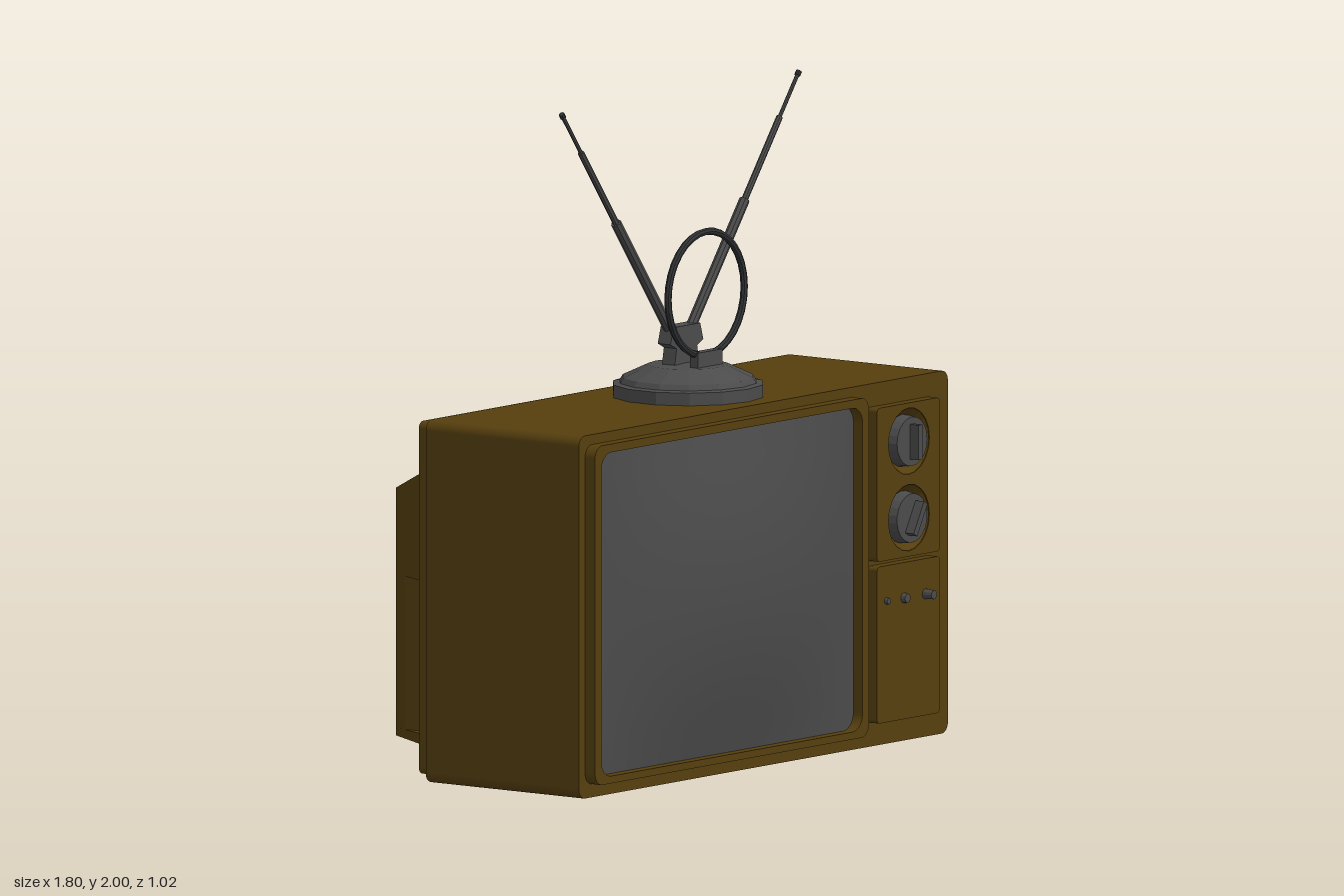
import * as THREE from 'three';
import { ConvexGeometry } from 'three/addons/geometries/ConvexGeometry.js';

const mat = (name, color, extra = {}) => {
  const m = new THREE.MeshStandardMaterial({ color, flatShading: true, ...extra });
  m.name = name;
  return m;
};

// Rounded rectangle outline, usable as a shape or as a hole
function roundRect(x0, y0, x1, y1, r, Type = THREE.Shape) {
  const s = new Type();
  s.absarc(x1 - r, y0 + r, r, -Math.PI / 2, 0);
  s.absarc(x1 - r, y1 - r, r, 0, Math.PI / 2);
  s.absarc(x0 + r, y1 - r, r, Math.PI / 2, Math.PI);
  s.absarc(x0 + r, y0 + r, r, Math.PI, Math.PI * 1.5);
  s.closePath();
  return s;
}

function slab(shape, z0, z1) {
  const g = new THREE.ExtrudeGeometry(shape, { depth: z1 - z0, bevelEnabled: false, curveSegments: 5 });
  return g.translate(0, 0, z0);
}

export function createModel() {
  const tv = new THREE.Group();
  tv.name = 'television';
  const brown = mat('brown casing', 0x563f0e);
  const grey = mat('grey plastic', 0x4b4b4c);
  const glass = mat('screen glass', 0x4b4b4b, { flatShading: false });
  const dark = mat('dark metal', 0x303234);

  const add = (name, geo, material, parent = tv) => {
    const m = new THREE.Mesh(geo, material);
    m.name = name;
    parent.add(m);
    return m;
  };
  // Cylinder between two points
  const rod = (name, a, b, r0, r1, material, parent = tv, sides = 8) => {
    const d = b.clone().sub(a);
    const m = add(name, new THREE.CylinderGeometry(r1, r0, d.length(), sides), material, parent);
    m.position.copy(a).add(b).multiplyScalar(0.5);
    m.quaternion.setFromUnitVectors(new THREE.Vector3(0, 1, 0), d.normalize());
    return m;
  };
  const V = (x, y, z) => new THREE.Vector3(x, y, z);

  // Cabinet and stepped back panel
  add('cabinet', slab(roundRect(-0.9, 0, 0.9, 1.09, 0.03), -0.145, 0.43), brown);
  add('backPanel', slab(roundRect(-0.875, 0.02, 0.875, 1.08, 0.02), -0.19, -0.145), brown);

  // Tapered rear housing with a recess in each side
  const zA = -0.19, zB = -0.51, cut = 0.593;
  const t = z => (z - zA) / (zB - zA);
  const side = z => 0.72 - 0.15 * t(z);
  const top = z => 0.96 - 0.14 * t(z);
  const bottom = z => 0.06 + 0.015 * t(z);
  const zCut = -0.46;
  const housing = (name, low, high, width, depths) => {
    const pts = [];
    for (const z of depths) for (const s of [-1, 1]) {
      pts.push(V(s * width(z), low(z), z), V(s * width(z), high(z), z));
    }
    add(name, new ConvexGeometry(pts), brown);
  };
  housing('rearHousingUpper', () => 0.56, top, side, [zA, zB]);
  housing('rearHousingCore', () => 0.1, () => 0.56, z => Math.min(cut, side(z)), [zA, zCut, zB]);
  housing('rearHousingLedge', bottom, () => 0.1, side, [zA, zB]);

  // Screen bezel
  const bezel = roundRect(-0.87, 0.04, 0.465, 1.06, 0.035);
  bezel.holes.push(roundRect(-0.84, 0.062, 0.435, 1.035, 0.05, THREE.Path));
  add('screenBezel', slab(bezel, 0.43, 0.468), brown);

  // Bulging screen, highest in the middle
  const screen = new THREE.PlaneGeometry(1.29, 0.985, 24, 20);
  const p = screen.attributes.position;
  for (let i = 0; i < p.count; i++) {
    const u = p.getX(i) / 0.645, v = p.getY(i) / 0.4925;
    p.setZ(i, 0.433 + 0.072 * Math.pow(Math.max(0, (1 - u * u) * (1 - v * v)), 1.15));
  }
  screen.computeVertexNormals();
  add('screen', screen, glass).position.set(-0.2025, 0.5485, 0);

  // Control panels, the upper one with round wells for the dials
  const dials = [[0.665, 0.905, 0], [0.665, 0.675, -0.5]];
  const upper = roundRect(0.51, 0.558, 0.815, 1.02, 0.012);
  for (const [x, y] of dials) {
    const hole = new THREE.Path();
    hole.absarc(x, y, 0.1, 0, Math.PI * 2);
    upper.holes.push(hole);
  }
  const upperGeo = new THREE.ExtrudeGeometry(upper, { depth: 0.035, bevelEnabled: false, curveSegments: 10 });
  add('upperControlPanel', upperGeo, brown).position.z = 0.43;
  add('lowerControlPanel', slab(roundRect(0.51, 0.072, 0.815, 0.543, 0.012), 0.43, 0.465), brown);

  // Dials, each with a sloped well, a disc and a grip bar
  const well = new THREE.LatheGeometry([new THREE.Vector2(0.07, 0), new THREE.Vector2(0.1, 0.03)].reverse(), 20);
  const wellMat = brown.clone();
  wellMat.side = THREE.DoubleSide;
  for (const [x, y, turn] of dials) {
    const dial = new THREE.Group();
    dial.name = 'dial';
    dial.position.set(x, y, 0.432);
    dial.rotation.z = turn;
    add('dialWell', well, wellMat, dial).rotation.x = Math.PI / 2;
    const disc = add('dialDisc', new THREE.CylinderGeometry(0.074, 0.08, 0.045, 20), grey, dial);
    disc.rotation.x = Math.PI / 2;
    disc.position.z = 0.0225;
    add('dialGrip', new THREE.BoxGeometry(0.02, 0.105, 0.034), grey, dial).position.z = 0.06;
    tv.add(dial);
  }

  // Small knobs
  for (const [x, r, z] of [[0.555, 0.011, 0.475], [0.64, 0.016, 0.48], [0.745, 0.016, 0.498]]) {
    rod('smallKnob', V(x, 0.437, 0.46), V(x, 0.437, z), r, r * 0.85, grey, tv, 12);
  }

  // Aerial base
  const profile = [[0, 1.088], [0.228, 1.088], [0.228, 1.128], [0.208, 1.132], [0.198, 1.148], [0.12, 1.184], [0, 1.188]];
  const base = new THREE.LatheGeometry(profile.map(([r, y]) => new THREE.Vector2(r, y)), 14);
  add('aerialBase', base, grey).position.z = 0.147;

  // Aerial holder
  const holder = new THREE.Shape([[-0.06, 1.18], [0.06, 1.18], [0.05, 1.235], [0.08, 1.25], [0.065, 1.3],
    [-0.065, 1.3], [-0.08, 1.25], [-0.05, 1.235]].map(([x, y]) => new THREE.Vector2(x, y)));
  add('aerialHolder', slab(holder, 0.095, 0.143), grey);

  // Telescopic rods, mirrored
  for (const s of [-1, 1]) {
    const at = y => V(s * (0.578 - (1.995 - y) * 0.745), y, 0.118);
    rod('aerialRodThick', at(1.26), at(1.64), 0.016, 0.016, grey);
    rod('aerialRodMiddle', at(1.63), at(1.87), 0.01, 0.01, grey);
    rod('aerialRodThin', at(1.86), at(1.99), 0.006, 0.006, grey);
    rod('aerialTip', at(1.985), at(1.997), 0.009, 0.009, dark);
  }

  // Loop aerial with its foot
  add('aerialLoop', new THREE.TorusGeometry(0.186, 0.011, 8, 32), dark).position.set(0, 1.402, 0.215);
  add('loopFoot', new THREE.BoxGeometry(0.12, 0.06, 0.03), grey).position.set(0, 1.2, 0.215);

  return tv;
}
